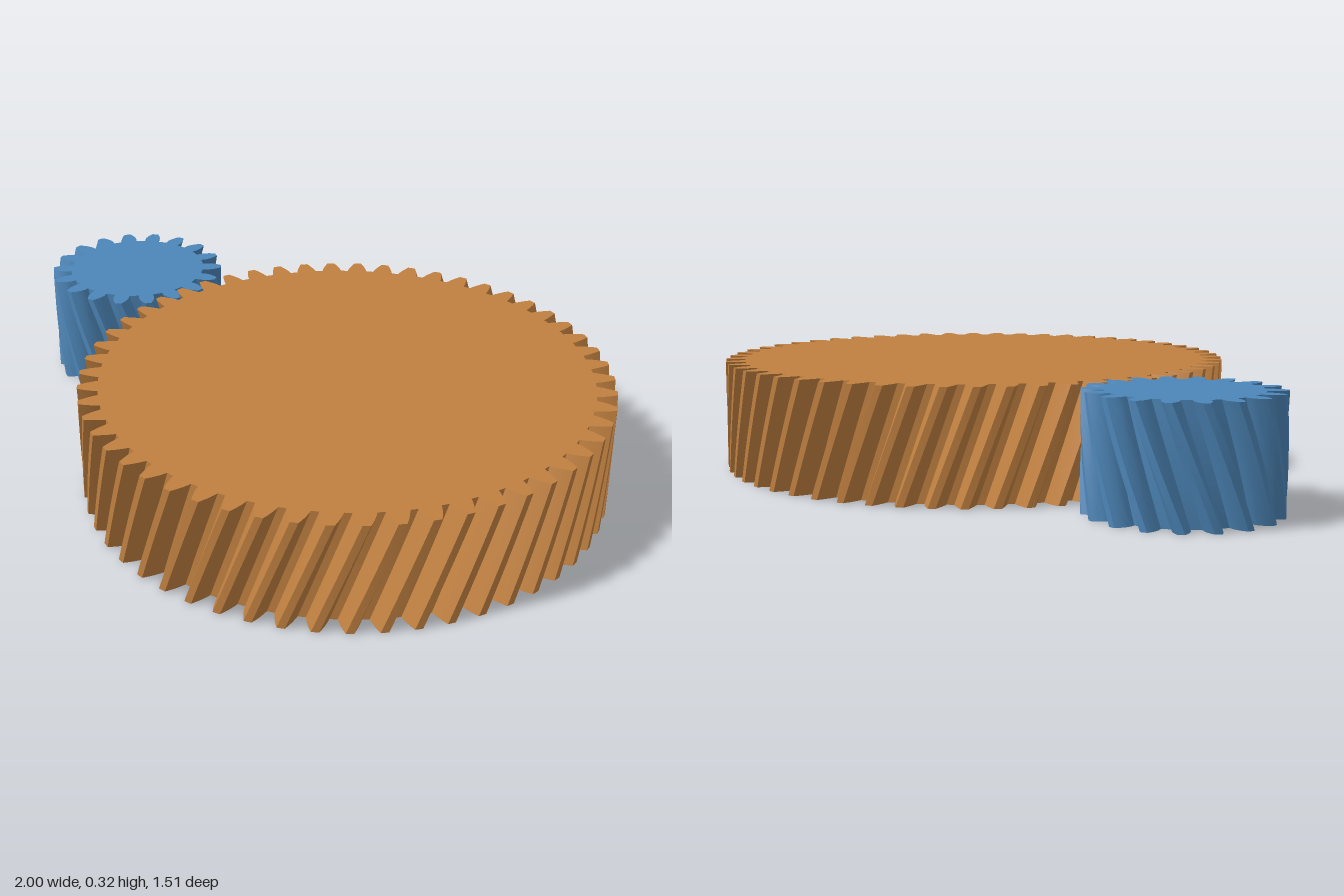
import * as THREE from 'three';
import { toCreasedNormals } from 'three/addons/utils/BufferGeometryUtils.js';

const HEIGHT = 0.325;
const HELIX = THREE.MathUtils.degToRad(20);
const MODULE = 0.02707; // transverse module: pitch diameter / teeth
const NORMAL_MODULE = MODULE * Math.cos(HELIX);
const PRESSURE = Math.atan(Math.tan(THREE.MathUtils.degToRad(20)) / Math.cos(HELIX));
const involute = (a) => Math.tan(a) - a;

// Closed involute outline; phase is the angle of the first tooth's centre
function gearShape(teeth, phase) {
  const pitch = (MODULE * teeth) / 2;
  const base = pitch * Math.cos(PRESSURE);
  const tip = pitch + NORMAL_MODULE;
  const root = pitch - 1.25 * NORMAL_MODULE;
  const halfAngle = (r) =>
    Math.PI / (2 * teeth) + involute(PRESSURE) - involute(Math.acos(Math.min(1, base / r)));

  // Rising flank from root to tip; the falling flank mirrors it
  const flank = [];
  if (root < base) flank.push([root, halfAngle(base)]);
  const start = Math.max(root, base);
  for (let i = 0; i <= 5; i++) {
    const r = start + ((tip - start) * i) / 5;
    flank.push([r, halfAngle(r)]);
  }
  const tooth = [
    ...flank.map(([r, a]) => [r, -a]),
    [tip, 0],
    ...flank.slice().reverse(),
  ];

  const points = [];
  for (let t = 0; t < teeth; t++) {
    const centre = phase + (t * 2 * Math.PI) / teeth;
    for (const [r, a] of tooth) {
      points.push(new THREE.Vector2(r * Math.cos(centre + a), r * Math.sin(centre + a)));
    }
  }
  return new THREE.Shape(points);
}

// Extrude the outline upwards and twist it into a helix; hand is +1 or -1
function helicalGear(name, teeth, phase, hand, color) {
  const geometry = new THREE.ExtrudeGeometry(gearShape(teeth, phase), {
    depth: HEIGHT, steps: 12, bevelEnabled: false,
  });
  geometry.rotateX(-Math.PI / 2);

  const twist = (hand * Math.tan(HELIX)) / ((MODULE * teeth) / 2); // radians per unit height
  const up = new THREE.Vector3(0, 1, 0);
  const v = new THREE.Vector3();
  const position = geometry.attributes.position;
  for (let i = 0; i < position.count; i++) {
    v.fromBufferAttribute(position, i);
    v.applyAxisAngle(up, twist * (v.y - HEIGHT));
    position.setXYZ(i, v.x, v.y, v.z);
  }

  const mesh = new THREE.Mesh(
    toCreasedNormals(geometry, Math.PI / 7),
    new THREE.MeshStandardMaterial({ color }),
  );
  mesh.name = name;
  return mesh;
}

export function createModel() {
  const group = new THREE.Group();
  group.name = 'helicalGearPair';

  // Large wheel: a tooth points at the pinion
  const wheel = helicalGear('largeGear', 54, 0, 1, 0xc08040);
  wheel.position.x = 0.2437;

  // Pinion: a gap faces the wheel, helix of the opposite hand
  const pinion = helicalGear('pinion', 18, Math.PI / 18, -1, 0x4d86b8);
  pinion.position.x = -0.7309;

  group.add(wheel, pinion);
  return group;
}
